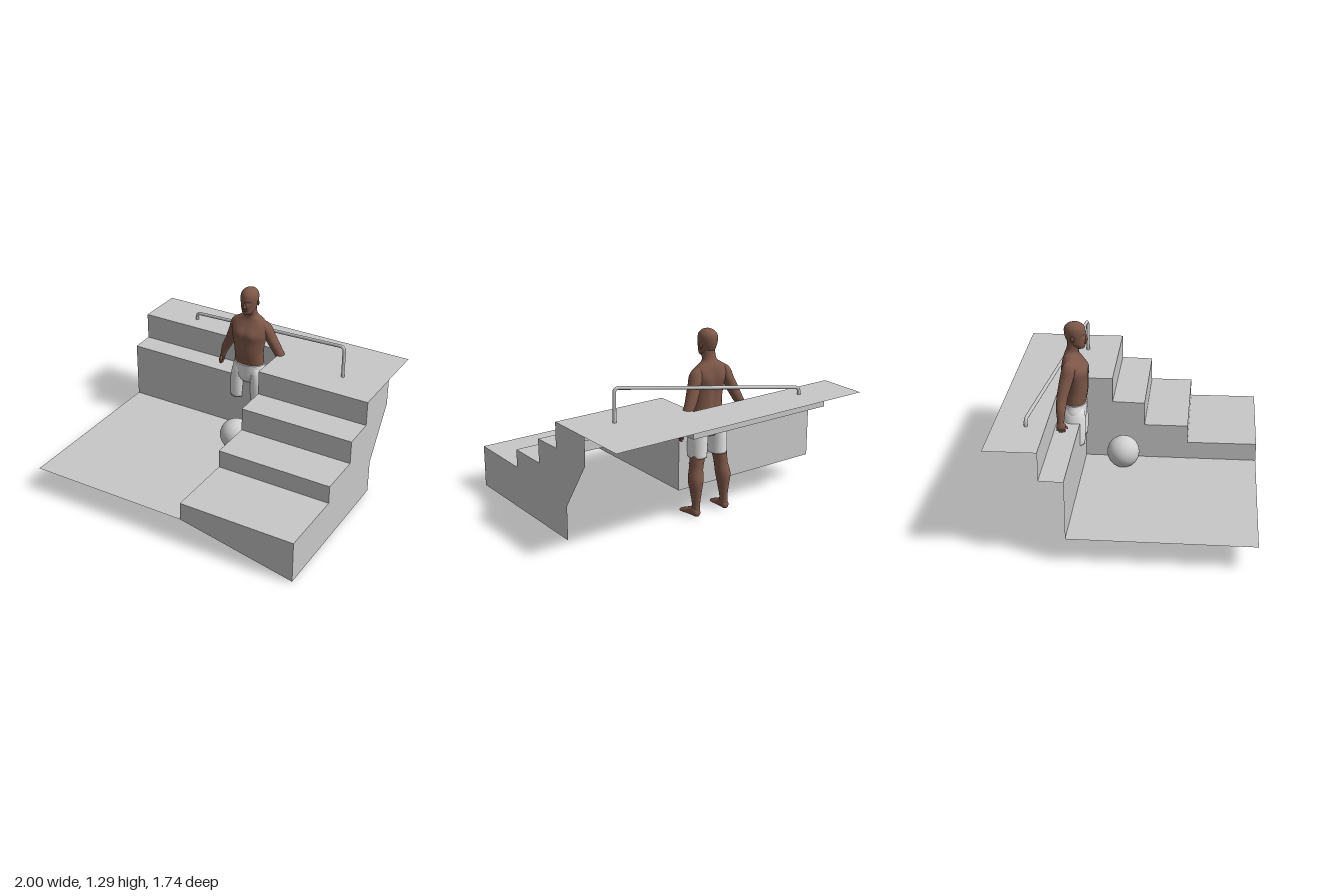
import * as THREE from 'three';

const mat = (name, color, side = THREE.FrontSide) => {
  const m = new THREE.MeshStandardMaterial({ color, side });
  m.name = name;
  return m;
};

// Smooth closed skin through elliptical rings [along, cx, cz, rx, rz], listed upward
function loft(rings, { side = 1, sculpt = null, n = 24, sub = 4 } = {}) {
  const V = (a, b, c) => new THREE.Vector3(a, b, c);
  const path = new THREE.CatmullRomCurve3(rings.map(r => V(r[1] * side, r[0], r[2])), false, 'catmullrom');
  const size = new THREE.CatmullRomCurve3(rings.map(r => V(r[3], 0, r[4])), false, 'catmullrom');
  const rows = (rings.length - 1) * sub;
  const pos = [], idx = [];
  for (let j = 0; j <= rows; j++) {
    const c = path.getPoint(j / rows), s = size.getPoint(j / rows);
    for (let i = 0; i < n; i++) {
      const a = i / n * Math.PI * 2;
      const p = V(c.x + s.x * Math.cos(a), c.y, c.z + s.z * Math.sin(a));
      if (sculpt) sculpt(p, Math.sin(a));
      pos.push(p.x, p.y, p.z);
    }
  }
  const bottom = (rows + 1) * n, top = bottom + 1;
  for (const t of [0, 1]) pos.push(...path.getPoint(t).toArray());
  for (let i = 0; i < n; i++) {
    const k = (i + 1) % n;
    for (let j = 0; j < rows; j++) {
      const a = j * n + i, b = j * n + k;
      idx.push(a, a + n, b, b, a + n, b + n);
    }
    idx.push(bottom, i, k, top, rows * n + k, rows * n + i);
  }
  const g = new THREE.BufferGeometry();
  g.setAttribute('position', new THREE.Float32BufferAttribute(pos, 3));
  g.setIndex(idx);
  g.computeVertexNormals();
  return g;
}

// Soft bump used to shape muscles and the face
const bump = (p, x, y, sx, sy) => Math.exp(-(((p.x - x) / sx) ** 2) - ((p.y - y) / sy) ** 2);

export function createModel() {
  const model = new THREE.Group();
  const stone = mat('concrete grey', 0xc8c8c8, THREE.DoubleSide);
  const steel = mat('rail grey', 0xc4c4c4);
  const white = mat('ball grey', 0xd0d0d0);
  const cloth = mat('shorts white', 0xe4e4e4);
  const skin = mat('skin brown', 0x7d5748);
  const add = (parent, name, geo, material) => {
    const m = new THREE.Mesh(geo, material);
    m.name = name;
    parent.add(m);
    return m;
  };

  // Open shell of floor, ledge and steps
  const steps = new THREE.Group();
  steps.name = 'steps';
  model.add(steps);
  const sheet = (profile, x0, x1) => {
    const p = [];
    for (let i = 0; i + 1 < profile.length; i++) {
      const [z0, y0] = profile[i], [z1, y1] = profile[i + 1];
      p.push(x0, y0, z0, x0, y1, z1, x1, y1, z1, x0, y0, z0, x1, y1, z1, x1, y0, z0);
    }
    const g = new THREE.BufferGeometry();
    g.setAttribute('position', new THREE.Float32BufferAttribute(p, 3));
    g.computeVertexNormals();
    return g;
  };
  const outline = pts => new THREE.ShapeGeometry(new THREE.Shape(pts.map(p => new THREE.Vector2(...p))));
  const wall = (pts, x) => outline(pts).rotateY(-Math.PI / 2).translate(x, 0, 0);
  const stair = [[-0.17, 0.79], [-0.17, 0.612], [0.06, 0.607], [0.06, 0.437], [0.37, 0.437], [0.37, 0.307], [0.865, 0.31]];
  const ledge = [[-0.525, 0.79], [-0.525, 0.595], [-0.365, 0.59], [-0.365, 0.18]];
  add(steps, 'ledgeAndFloor', sheet([[-0.87, 0.79], ...ledge, [0.865, 0.18]], -1, 0.17), stone);
  add(steps, 'stairTreads', sheet([[-0.87, 0.79], ...stair], 0.17, 1), stone);
  add(steps, 'innerWall', wall([...stair, [0.865, 0.18], ...[...ledge].reverse()], 0.17), stone);
  add(steps, 'outerWall', wall([...stair, [0.865, 0.01], [-0.285, 0.01], [-0.285, 0.25], [-0.52, 0.6], [-0.52, 0.79]], 1), stone);
  add(steps, 'frontWall', outline([[0.17, 0.18], [1, 0.01], [1, 0.31], [0.17, 0.31]]).translate(0, 0, 0.865), stone);

  // Sloping handrail with rounded corners
  const corners = [[-0.63, 0.775, -0.655], [-0.63, 0.84, -0.655], [0.705, 1.02, -0.405], [0.705, 0.775, -0.405]]
    .map(p => new THREE.Vector3(...p));
  const rail = new THREE.CurvePath();
  let from = corners[0];
  for (const i of [1, 2]) {
    const toward = k => corners[i].clone().add(corners[k].clone().sub(corners[i]).setLength(0.035));
    const a = toward(i - 1), b = toward(i + 1);
    rail.add(new THREE.LineCurve3(from, a));
    rail.add(new THREE.QuadraticBezierCurve3(a, corners[i], b));
    from = b;
  }
  rail.add(new THREE.LineCurve3(from, corners[3]));
  add(model, 'handrail', new THREE.TubeGeometry(rail, 160, 0.012, 12), steel);

  // Ball resting on the floor
  add(model, 'ball', new THREE.SphereGeometry(0.115, 32, 24), white).position.set(0.042, 0.283, -0.083);

  // Standing man, built around his own centre line
  const man = new THREE.Group();
  man.name = 'man';
  man.position.x = -0.035;
  model.add(man);

  add(man, 'torso', loft([
    [0.66, 0, -0.41, 0.11, 0.07], [0.72, 0, -0.407, 0.112, 0.076], [0.8, 0, -0.4, 0.111, 0.083],
    [0.88, 0, -0.4, 0.122, 0.085], [0.95, 0, -0.405, 0.138, 0.086], [1.01, 0, -0.42, 0.138, 0.07],
    [1.05, 0, -0.428, 0.1, 0.056], [1.08, 0, -0.425, 0.056, 0.047], [1.11, 0, -0.415, 0.046, 0.046],
    [1.16, 0, -0.408, 0.044, 0.046]], {
    n: 48, sub: 5,
    sculpt: (p, s) => {
      if (s > 0) {
        const pecs = bump(p, 0.06, 0.96, 0.05, 0.04) + bump(p, -0.06, 0.96, 0.05, 0.04);
        p.z += s * (0.012 * pecs - 0.008 * bump(p, 0, 0.86, 0.012, 0.13));
      } else {
        const blades = bump(p, 0.075, 0.97, 0.04, 0.05) + bump(p, -0.075, 0.97, 0.04, 0.05);
        p.z += s * (0.014 * blades - 0.014 * bump(p, 0, 0.87, 0.018, 0.15));
      }
    }
  }), skin);

  // Head with sockets, brow and mouth pressed into the face
  add(man, 'head', loft([
    [1.102, 0, -0.362, 0.014, 0.014], [1.112, 0, -0.37, 0.034, 0.035], [1.14, 0, -0.388, 0.05, 0.058],
    [1.18, 0, -0.398, 0.058, 0.07], [1.22, 0, -0.402, 0.063, 0.074], [1.255, 0, -0.404, 0.058, 0.069],
    [1.28, 0, -0.404, 0.038, 0.046], [1.293, 0, -0.404, 0.006, 0.008]], {
    n: 48, sub: 6,
    sculpt: (p, s) => {
      if (s <= 0) return;
      for (const x of [-0.025, 0.025]) {
        p.z -= s * 0.011 * bump(p, x, 1.2, 0.014, 0.01);
        p.z += s * 0.004 * bump(p, x, 1.218, 0.02, 0.008);
      }
      p.z -= s * 0.005 * bump(p, 0, 1.147, 0.025, 0.004);
    }
  }), skin);
  add(man, 'nose', loft([
    [1.16, 0, -0.333, 0.007, 0.006], [1.166, 0, -0.327, 0.014, 0.015],
    [1.18, 0, -0.328, 0.009, 0.012], [1.208, 0, -0.337, 0.006, 0.008]], { n: 16 }), skin);
  for (const y of [1.152, 1.141]) {
    const lip = add(man, 'lip', new THREE.SphereGeometry(1, 16, 10), skin);
    lip.scale.set(0.02, 0.005, 0.008);
    lip.position.set(0, y, -0.331);
  }

  add(man, 'shortsWaist', loft([
    [0.56, 0, -0.41, 0.07, 0.055], [0.6, 0, -0.41, 0.118, 0.076], [0.65, 0, -0.41, 0.13, 0.081],
    [0.69, 0, -0.408, 0.122, 0.081], [0.712, 0, -0.407, 0.118, 0.081]], { n: 40 }), cloth);

  for (const side of [1, -1]) {
    const tag = side > 0 ? 'left' : 'right';
    const part = (name, rings, material, n = 24) => add(man, tag + name, loft(rings, { side, n }), material);

    part('ShortsLeg', [
      [0.42, 0.085, -0.412, 0.062, 0.074], [0.48, 0.084, -0.41, 0.064, 0.077], [0.56, 0.08, -0.41, 0.064, 0.079],
      [0.64, 0.072, -0.41, 0.06, 0.076], [0.69, 0.062, -0.41, 0.05, 0.065]], cloth);
    part('Leg', [
      [0.025, 0.122, -0.45, 0.026, 0.03], [0.09, 0.119, -0.447, 0.025, 0.032], [0.17, 0.118, -0.443, 0.036, 0.044],
      [0.26, 0.117, -0.438, 0.05, 0.058], [0.34, 0.106, -0.428, 0.046, 0.052], [0.4, 0.097, -0.425, 0.05, 0.054],
      [0.5, 0.086, -0.42, 0.056, 0.06]], skin);

    // Foot rings run heel to toe, then turn to lie along z
    add(man, tag + 'Foot', loft([
      [-0.482, 0.123, -0.028, 0.01, 0.012], [-0.468, 0.123, -0.03, 0.025, 0.028], [-0.43, 0.124, -0.036, 0.029, 0.036],
      [-0.385, 0.128, -0.026, 0.032, 0.026], [-0.335, 0.133, -0.015, 0.035, 0.015], [-0.306, 0.133, -0.01, 0.02, 0.008]],
    { side }).rotateX(Math.PI / 2), skin);

    part('Arm', [
      [0.645, 0.265, -0.478, 0.017, 0.023], [0.69, 0.253, -0.478, 0.024, 0.026], [0.75, 0.229, -0.478, 0.036, 0.034],
      [0.81, 0.196, -0.473, 0.04, 0.038], [0.87, 0.168, -0.461, 0.043, 0.043], [0.94, 0.138, -0.445, 0.043, 0.048],
      [0.99, 0.122, -0.435, 0.043, 0.047], [1.025, 0.108, -0.432, 0.034, 0.037], [1.045, 0.095, -0.43, 0.014, 0.016]], skin);
    part('Palm', [
      [0.615, 0.275, -0.475, 0.011, 0.03], [0.635, 0.272, -0.475, 0.014, 0.031],
      [0.665, 0.262, -0.478, 0.017, 0.022]], skin, 16);
    for (let f = 0; f < 4; f++) {
      const z = -0.499 + f * 0.0155;
      const tip = 0.6 - (f === 1 || f === 2 ? 0.012 : 0) + (f === 0 ? 0.008 : 0);
      part('Finger', [[tip - 0.005, 0.27, z, 0.003, 0.003], [tip, 0.271, z, 0.007, 0.007],
        [0.63, 0.274, z, 0.009, 0.008]], skin, 10);
    }
    part('Thumb', [[0.612, 0.258, -0.435, 0.004, 0.004], [0.62, 0.259, -0.437, 0.008, 0.008],
      [0.655, 0.263, -0.46, 0.01, 0.01]], skin, 10);

    const ear = add(man, tag + 'Ear', new THREE.SphereGeometry(1, 16, 12), skin);
    ear.scale.set(0.007, 0.02, 0.013);
    ear.position.set(side * 0.063, 1.187, -0.412);
    ear.rotation.y = side * 0.3;
  }
  return model;
}
